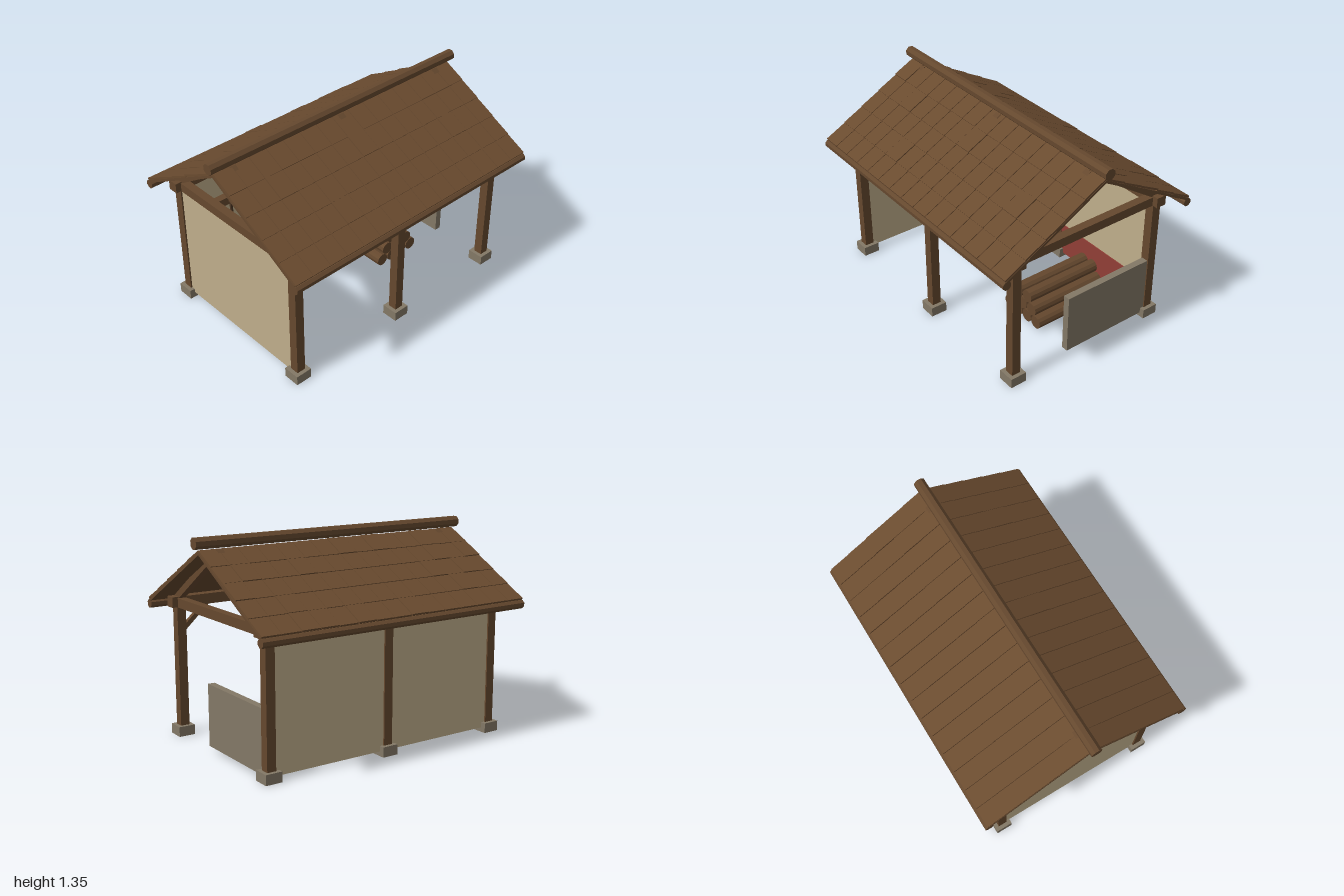
import * as THREE from 'three';

const mat = (name, color) => {
  const m = new THREE.MeshStandardMaterial({ color, flatShading: true });
  m.name = name;
  return m;
};

export function createModel() {
  const timber = mat('timber', 0x65482e);
  const shingle = mat('shingle', 0x6a4b2f);
  const darkWood = mat('dark wood', 0x4a3524);
  const plaster = mat('plaster', 0xbfae8b);
  const redPaint = mat('red paint', 0x913f36);
  const stone = mat('stone', 0x837866);
  const pail = mat('weathered grey', 0x767163);

  const model = new THREE.Group();
  model.name = 'openShed';

  const add = (name, geo, material, x, y, z, parent = model) => {
    const m = new THREE.Mesh(geo, material);
    m.name = name;
    m.position.set(x, y, z);
    parent.add(m);
    return m;
  };
  const box = (name, material, w, h, d, x, y, z, parent) =>
    add(name, new THREE.BoxGeometry(w, h, d), material, x, y, z, parent);
  // Straight timber between two points
  const bar = (name, material, w, h, a, b) => {
    const p = new THREE.Vector3(...a), q = new THREE.Vector3(...b);
    const mid = p.clone().add(q).multiplyScalar(0.5);
    const m = box(name, material, w, h, p.distanceTo(q), mid.x, mid.y, mid.z);
    m.lookAt(q);
    return m;
  };
  // Pole lying along x
  const poleX = (name, r, len, y, z) => {
    const geo = new THREE.CylinderGeometry(r, r, len, 8).rotateY(Math.PI / 8).rotateZ(Math.PI / 2);
    return add(name, geo, timber, 0, y, z);
  };
  let seed = 7;
  const rand = () => (seed = (seed * 16807) % 2147483647) / 2147483647;

  // Posts on stone footings
  const postX = [-0.835, 0, 0.835], postZ = 0.535;
  for (const x of postX) {
    for (const z of [-postZ, postZ]) {
      box('footing', stone, 0.11, 0.065, 0.11, x, 0.0325, z);
      box('post', timber, 0.06, 0.8, 0.06, x, 0.46, z);
    }
    // Cross beam and pair of rafters
    box('tieBeam', timber, 0.055, 0.06, 1.17, x, 0.877, 0);
    for (const s of [-1, 1]) {
      bar('rafter', timber, 0.045, 0.043, [x, 0.866, s * 0.597], [x, 1.259, 0]);
    }
  }
  for (const s of [-1, 1]) {
    box('wallPlate', timber, 1.8, 0.067, 0.07, 0, 0.882, s * postZ);
    poleX('eavePole', 0.029, 1.94, 0.856, s * 0.687);
  }
  poleX('ridgePole', 0.037, 2, 1.319, 0);

  // Diagonal braces along the open front
  for (const [x, s] of [[-0.835, 1], [0, -1], [0, 1], [0.835, -1]]) {
    bar('brace', timber, 0.03, 0.03, [x + s * 0.015, 0.695, postZ], [x + s * 0.19, 0.855, postZ]);
  }

  // Walls
  box('backWall', plaster, 1.62, 0.82, 0.04, 0, 0.44, -postZ);
  box('sideWall', plaster, 0.04, 0.797, 1.03, -0.835, 0.4365, 0);
  box('redDado', redPaint, 1.61, 0.23, 0.006, 0, 0.145, -0.512);
  box('lowStoneWall', stone, 0.045, 0.4, 0.65, 0.835, 0.23, -0.19);

  // Roof slopes: boarding with overlapping shingles
  const pitch = Math.atan(0.555), slope = 0.69 / Math.cos(pitch);
  const rows = 5, cols = 15, rowLen = slope / rows, colW = 1.94 / cols;
  for (const s of [0, 1]) {
    const side = new THREE.Group();
    side.name = s ? 'backRoof' : 'frontRoof';
    side.rotation.set(pitch, s * Math.PI, 0, 'YXZ');
    side.position.y = 1.268;
    model.add(side);
    box('roofBoards', timber, 1.94, 0.016, slope, 0, -0.008, slope / 2, side);
    for (let r = 0; r < rows; r++) {
      for (let c = 0; c < cols; c++) {
        const lift = rand() < 0.15 ? 0.003 : 0;
        const t = box('shingle', shingle, colW - 0.004, 0.012, rowLen + 0.008,
          -0.97 + colW * (c + 0.5), 0.006 + lift, rowLen * (r + 0.5), side);
        t.rotation.x = -0.03;
      }
    }
  }

  // Tool rack with hanging tools
  box('toolRack', timber, 0.92, 0.055, 0.052, -0.27, 0.638, -0.489);
  for (let i = 0; i < 7; i++) {
    const x = -0.647 + i * 0.1115;
    box('peg', darkWood, 0.012, 0.014, 0.05, x, 0.636, -0.443);
    box('toolHandle', darkWood, 0.015, 0.187, 0.015, x, 0.57, -0.445);
    box('toolGrip', timber, 0.025, 0.05, 0.017, x, 0.452, -0.445);
  }

  // Stacked firewood
  const logGeo = new THREE.CylinderGeometry(0.044, 0.044, 0.55, 12).rotateX(Math.PI / 2);
  for (let row = 0; row < 3; row++) {
    for (let i = 0; i < 4 - row; i++) {
      add('log', logGeo, timber, 0.28 + row * 0.045 + i * 0.09, 0.05 + row * 0.0765, -0.14);
    }
  }

  // Tub heaped with round produce
  const tub = new THREE.Group();
  tub.name = 'tub';
  tub.position.set(-0.652, 0, -0.3);
  model.add(tub);
  add('tubBody', new THREE.CylinderGeometry(0.11, 0.086, 0.125, 16), pail, 0, 0.0735, 0, tub);
  add('tubRim', new THREE.CylinderGeometry(0.117, 0.114, 0.022, 16), pail, 0, 0.13, 0, tub);
  add('tubFill', new THREE.CylinderGeometry(0.1, 0.1, 0.006, 16), plaster, 0, 0.142, 0, tub);
  const ball = new THREE.IcosahedronGeometry(0.018, 1);
  for (let i = 0; i < 9; i++) {
    const a = i * 2.4, r = 0.027 * Math.sqrt(i);
    add('produce', ball, stone, r * Math.cos(a), 0.151, r * Math.sin(a), tub);
  }
  return model;
}
